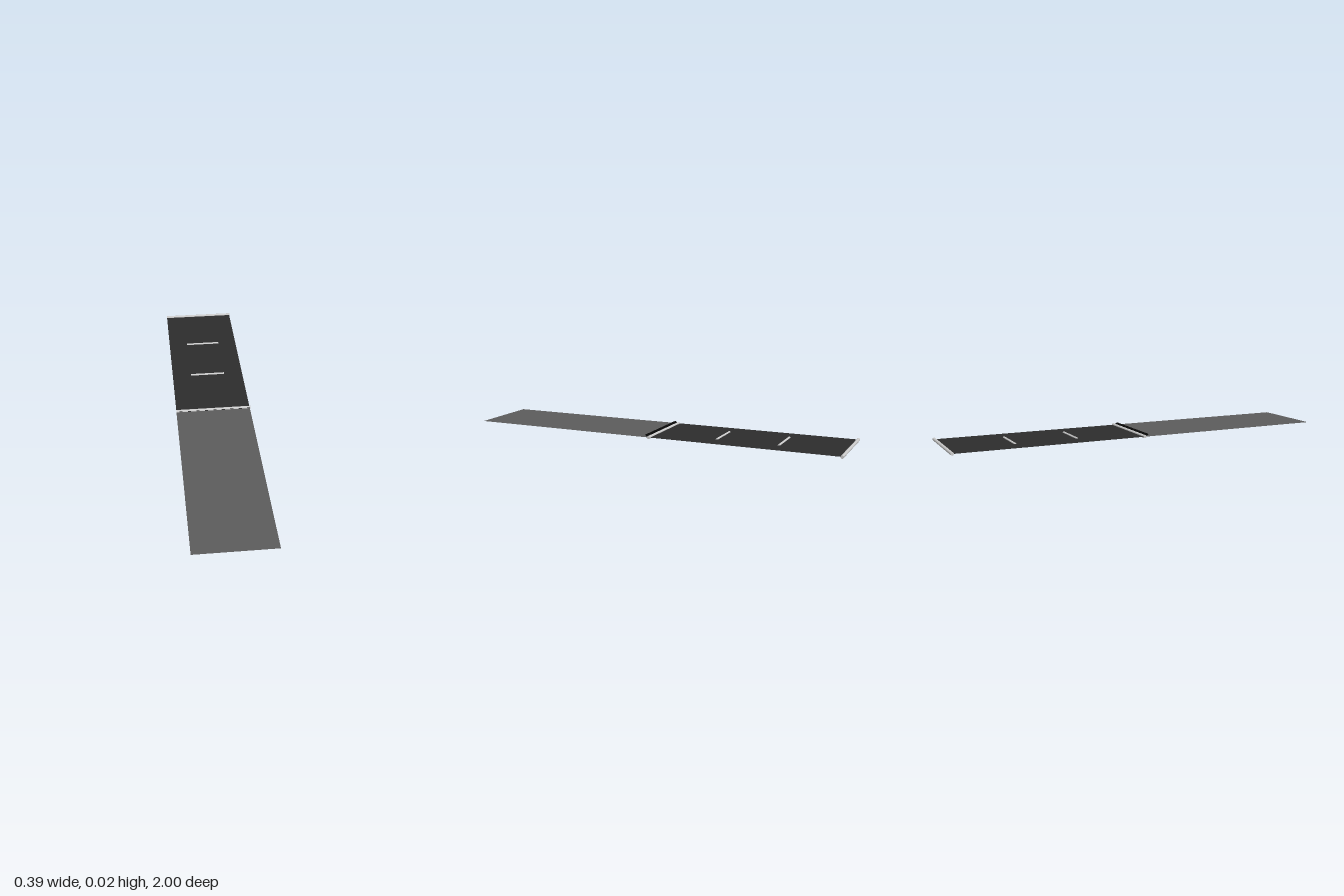
import * as THREE from 'three';

const CX = -0.002, WIDTH = 0.39, Y = 0.008;

const material = (color, side = THREE.FrontSide) =>
  new THREE.MeshStandardMaterial({ color, side });

// Thin open sheet spanning the width between two (y, z) edges
function sheet(name, color, y0, z0, y1, z1) {
  const geometry = new THREE.PlaneGeometry(WIDTH, Math.hypot(y1 - y0, z1 - z0));
  geometry.rotateX(-Math.PI / 2 + Math.atan2(y0 - y1, z0 - z1) * -1);
  const mesh = new THREE.Mesh(geometry, material(color, THREE.DoubleSide));
  mesh.position.set(CX, (y0 + y1) / 2, (z0 + z1) / 2);
  mesh.name = name;
  return mesh;
}

// Round rod lying across the width
function rod(name, length, radius, x, z) {
  const geometry = new THREE.CylinderGeometry(radius, radius, length, 16).rotateZ(Math.PI / 2);
  const mesh = new THREE.Mesh(geometry, material(0xcccccc));
  mesh.position.set(x, Y, z);
  mesh.name = name;
  return mesh;
}

export function createModel() {
  const group = new THREE.Group();
  group.name = 'foldingPanel';

  // Two flat panels meeting at the middle
  group.add(sheet('frontPanel', 0x5c5c5c, Y, 1, Y, -0.008));
  group.add(sheet('rearPanel', 0x2d2d2d, Y, -0.015, Y, -0.992));

  // Raised dark flap beside the hinge rod, leaning to the front
  group.add(sheet('hingeFlap', 0x080808, 0.02, 0.006, Y, -0.012));

  // Full-width rods at both ends of the rear panel
  group.add(rod('hingeRod', 0.394, 0.008, 0, -0.015));
  group.add(rod('endRod', 0.394, 0.008, 0, -0.992));

  // Short crossbars
  for (const z of [-0.345, -0.665]) group.add(rod('crossbar', 0.187, 0.006, CX, z));

  return group;
}
